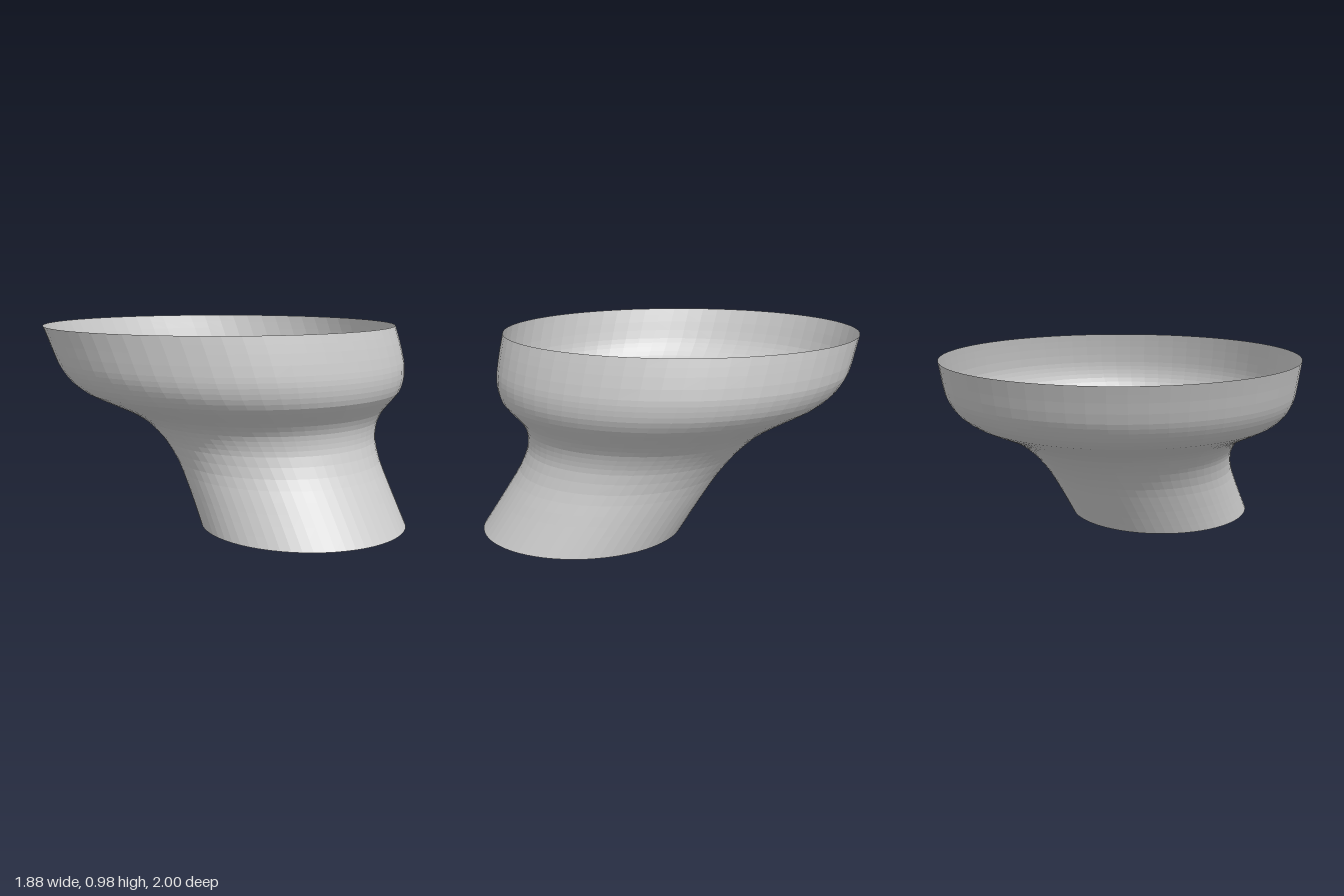
import * as THREE from 'three';

// Horizontal cross-sections: [height, centre x, centre z, radius]
const SECTIONS = [
  [0, 0.118, 0.482, 0.516],
  [0.1, 0.118, 0.415, 0.516],
  [0.2, 0.117, 0.347, 0.518],
  [0.3, 0.115, 0.278, 0.524],
  [0.4, 0.11, 0.21, 0.55],
  [0.45, 0.106, 0.178, 0.576],
  [0.5, 0.1, 0.147, 0.612],
  [0.55, 0.088, 0.114, 0.67],
  [0.6, 0.067, 0.08, 0.75],
  [0.65, 0.048, 0.046, 0.828],
  [0.7, 0.037, 0.018, 0.873],
  [0.75, 0.028, -0.002, 0.898],
  [0.8, 0.02, -0.02, 0.912],
  [0.9, 0.001, -0.048, 0.921],
  [0.98, -0.017, -0.072, 0.926],
];

// Open skin through circles whose centre and radius follow the section table
function loftCircles(sections, rings, sides) {
  const spine = new THREE.CatmullRomCurve3(sections.map(([y, x, z]) => new THREE.Vector3(x, y, z)));
  const radii = new THREE.CatmullRomCurve3(sections.map(([y, , , r]) => new THREE.Vector3(r, y, 0)));
  const positions = [];
  const index = [];
  for (let i = 0; i <= rings; i++) {
    const c = spine.getPoint(i / rings);
    const r = radii.getPoint(i / rings).x;
    for (let j = 0; j < sides; j++) {
      const a = (j / sides) * Math.PI * 2;
      positions.push(c.x + r * Math.sin(a), c.y, c.z + r * Math.cos(a));
      if (i === rings) continue;
      const k = (j + 1) % sides;
      const p = i * sides + j, q = i * sides + k;
      index.push(p, q, q + sides, p, q + sides, p + sides);
    }
  }
  const geometry = new THREE.BufferGeometry();
  geometry.setAttribute('position', new THREE.Float32BufferAttribute(positions, 3));
  geometry.setIndex(index);
  geometry.computeVertexNormals();
  return geometry;
}

export function createModel() {
  const group = new THREE.Group();
  group.name = 'offsetFunnel';
  const material = new THREE.MeshStandardMaterial({
    color: 0xcccccc,
    flatShading: true,
    side: THREE.DoubleSide,
  });
  // Leaning neck that flares into a wide open bowl
  const shell = new THREE.Mesh(loftCircles(SECTIONS, 28, 64), material);
  shell.name = 'funnelShell';
  group.add(shell);
  return group;
}
